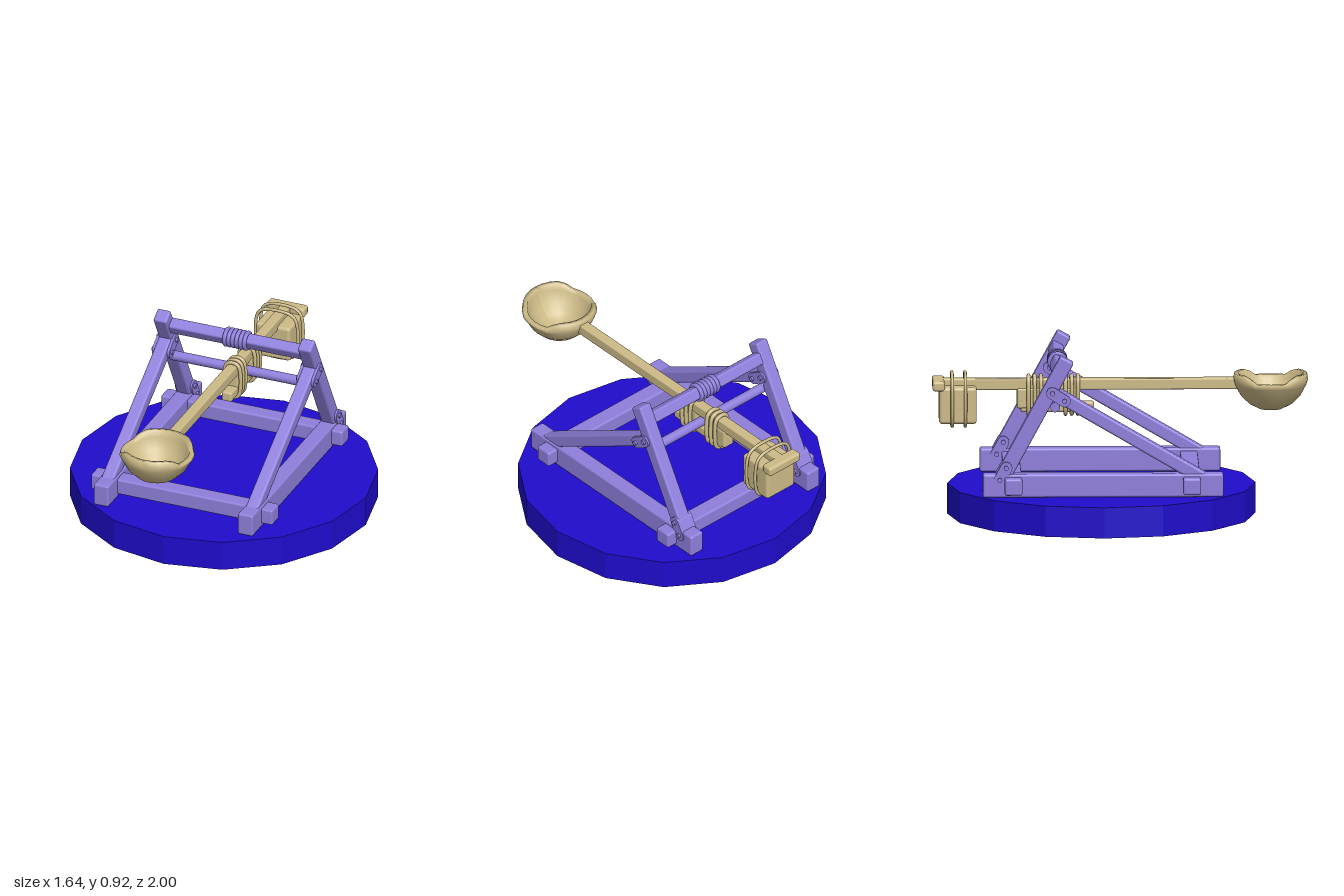
import * as THREE from 'three';
import { RoundedBoxGeometry } from 'three/addons/geometries/RoundedBoxGeometry.js';

const blue = new THREE.MeshStandardMaterial({ color: 0x1f0ccc, flatShading: true });
const purple = new THREE.MeshStandardMaterial({ color: 0x8f7fdc });
const tan = new THREE.MeshStandardMaterial({ color: 0xcdbb88 });
const tanBowl = new THREE.MeshStandardMaterial({ color: 0xcdbb88, side: THREE.DoubleSide });

export function createModel() {
  const root = new THREE.Group();
  root.name = 'catapult';

  const add = (name, geometry, material, x = 0, y = 0, z = 0) => {
    const mesh = new THREE.Mesh(geometry, material);
    mesh.name = name;
    mesh.position.set(x, y, z);
    root.add(mesh);
    return mesh;
  };

  // Softened box given by its minimum and maximum corners
  const block = (name, material, [x0, y0, z0], [x1, y1, z1], r = 0.012) =>
    add(name, new RoundedBoxGeometry(x1 - x0, y1 - y0, z1 - z0, 2, r), material,
      (x0 + x1) / 2, (y0 + y1) / 2, (z0 + z1) / 2);

  // Sloping timber between two [z, y] points
  const slope = (a, b) => Math.atan2(a[1] - b[1], b[0] - a[0]);
  const timber = (name, x, a, b, width, depth) => {
    const length = Math.hypot(b[0] - a[0], b[1] - a[1]);
    const mesh = add(name, new RoundedBoxGeometry(width, depth, length, 2, 0.012), purple,
      x, (a[1] + b[1]) / 2, (a[0] + b[0]) / 2);
    mesh.rotation.x = slope(a, b);
  };

  // Round-ended joint plate with two bolts through it
  const joint = (x, a, b) => {
    const half = Math.hypot(b[0] - a[0], b[1] - a[1]) / 2, r = 0.032;
    const s = new THREE.Shape();
    s.absarc(half, 0, r, -Math.PI / 2, Math.PI / 2);
    s.absarc(-half, 0, r, Math.PI / 2, Math.PI * 1.5);
    const g = new THREE.ExtrudeGeometry(s, { depth: 0.1, bevelEnabled: false, curveSegments: 8 });
    g.translate(0, 0, -0.05).rotateY(-Math.PI / 2);
    add('jointPlate', g, purple, x, (a[1] + b[1]) / 2, (a[0] + b[0]) / 2).rotation.x = slope(a, b);
    for (const [z, y] of [a, b]) {
      const bolt = new THREE.CylinderGeometry(0.013, 0.013, 0.122, 10).rotateZ(Math.PI / 2);
      add('bolt', bolt, purple, x, y, z);
    }
  };

  // Rope loop around a w by h rectangle, lying across z
  const loop = (name, material, x, y, z, w, h, r, corner) => {
    const pts = [];
    for (const [sx, sy] of [[1, 1], [-1, 1], [-1, -1], [1, -1]]) {
      const p = new THREE.Vector3(sx * (w / 2 - corner), sy * h / 2, 0);
      const q = new THREE.Vector3(sx * w / 2, sy * (h / 2 - corner), 0);
      pts.push(...(sx * sy > 0 ? [q, p] : [p, q]));
    }
    const curve = new THREE.CatmullRomCurve3(pts, true, 'centripetal');
    return add(name, new THREE.TubeGeometry(curve, 40, r, 8, true), material, x, y, z);
  };

  // Sixteen-sided base
  add('base', new THREE.CylinderGeometry(0.82, 0.82, 0.165, 16), blue, 0, 0.0825, -0.1);

  // Side frames
  const cx = -0.023;
  for (const side of [-1, 1]) {
    const x = cx + side * 0.417;
    block('sideRail', purple, [x - 0.044, 0.165, -0.74], [x + 0.044, 0.29, 0.54]);
    timber('rearPost', x, [-0.65, 0.24], [-0.29, 0.905], 0.077, 0.08);
    timber('frontBrace', x, [0.45, 0.25], [-0.38, 0.735], 0.072, 0.07);
    joint(x, [-0.305, 0.685], [-0.37, 0.727]);
    joint(x, [-0.615, 0.325], [-0.65, 0.26]);
  }

  // Cross beams
  for (const z of [0.372, -0.578])
    block('crossBeam', purple, [-0.55, 0.185, z - 0.047], [0.5, 0.275, z + 0.047]);

  // Stop bar with its rope wrapping
  const lean = slope([-0.65, 0.24], [-0.29, 0.905]);
  add('stopBar', new RoundedBoxGeometry(0.78, 0.066, 0.066, 2, 0.012), purple, cx, 0.83, -0.335)
    .rotation.x = lean;
  for (let i = 0; i < 6; i++) {
    const ring = loop('stopBarRope', purple, cx - 0.0575 + i * 0.023, 0.83, -0.335, 0.078, 0.078, 0.012, 0.022);
    ring.rotation.set(lean, Math.PI / 2, 0, 'XYZ');
  }

  // Pivot axle
  add('axle', new THREE.CylinderGeometry(0.027, 0.027, 0.78, 12).rotateZ(Math.PI / 2), purple, cx, 0.639, -0.355);

  // Throwing arm with the blocks lashed beneath it
  const ax = -0.004;
  block('throwingArm', tan, [ax - 0.029, 0.67, -0.97], [ax + 0.029, 0.73, 0.63], 0.008);
  block('underBeam', tan, [ax - 0.03, 0.55, -0.53], [ax + 0.03, 0.605, -0.14]);
  block('rearSpacer', tan, [ax - 0.035, 0.57, -0.55], [ax + 0.035, 0.68, -0.39]);
  block('frontSpacer', tan, [ax - 0.032, 0.59, -0.32], [ax + 0.032, 0.68, -0.22]);
  for (const z of [-0.225, -0.258, -0.291, -0.422, -0.455, -0.488])
    loop('armRope', tan, ax, 0.64, z, 0.078, 0.2, 0.011, 0.02);

  // Counterweight, end bar and its ropes
  block('counterweight', tan, [ax - 0.1, 0.497, -0.965], [ax + 0.1, 0.695, -0.765], 0.018);
  block('endBar', tan, [ax - 0.11, 0.675, -1], [ax + 0.11, 0.73, -0.935], 0.015);
  for (const z of [-0.825, -0.895])
    loop('counterweightRope', tan, ax, 0.618, z, 0.224, 0.262, 0.009, 0.035);

  // Bowl, its rim dipping at both sides
  const profile = [[0, 0.555], [0.06, 0.562], [0.115, 0.59], [0.16, 0.635], [0.19, 0.69], [0.2, 0.72], [0.194, 0.755],
    [0.172, 0.755], [0.168, 0.715], [0.14, 0.655], [0.1, 0.61], [0.05, 0.588], [0, 0.583]];
  const bowl = new THREE.LatheGeometry(profile.map(([r, y]) => new THREE.Vector2(r, y)), 28);
  const p = bowl.attributes.position;
  for (let i = 0; i < p.count; i++) {
    const x = p.getX(i), y = p.getY(i), r = Math.hypot(x, p.getZ(i));
    if (y < 0.7) continue;
    const dip = THREE.MathUtils.smoothstep(Math.abs(x) / r, 0.72, 0.88);
    p.setY(i, y - 0.037 * dip * (y - 0.69) / 0.065);
  }
  bowl.computeVertexNormals();
  add('bowl', bowl, tanBowl, ax, 0, 0.8);

  return root;
}
